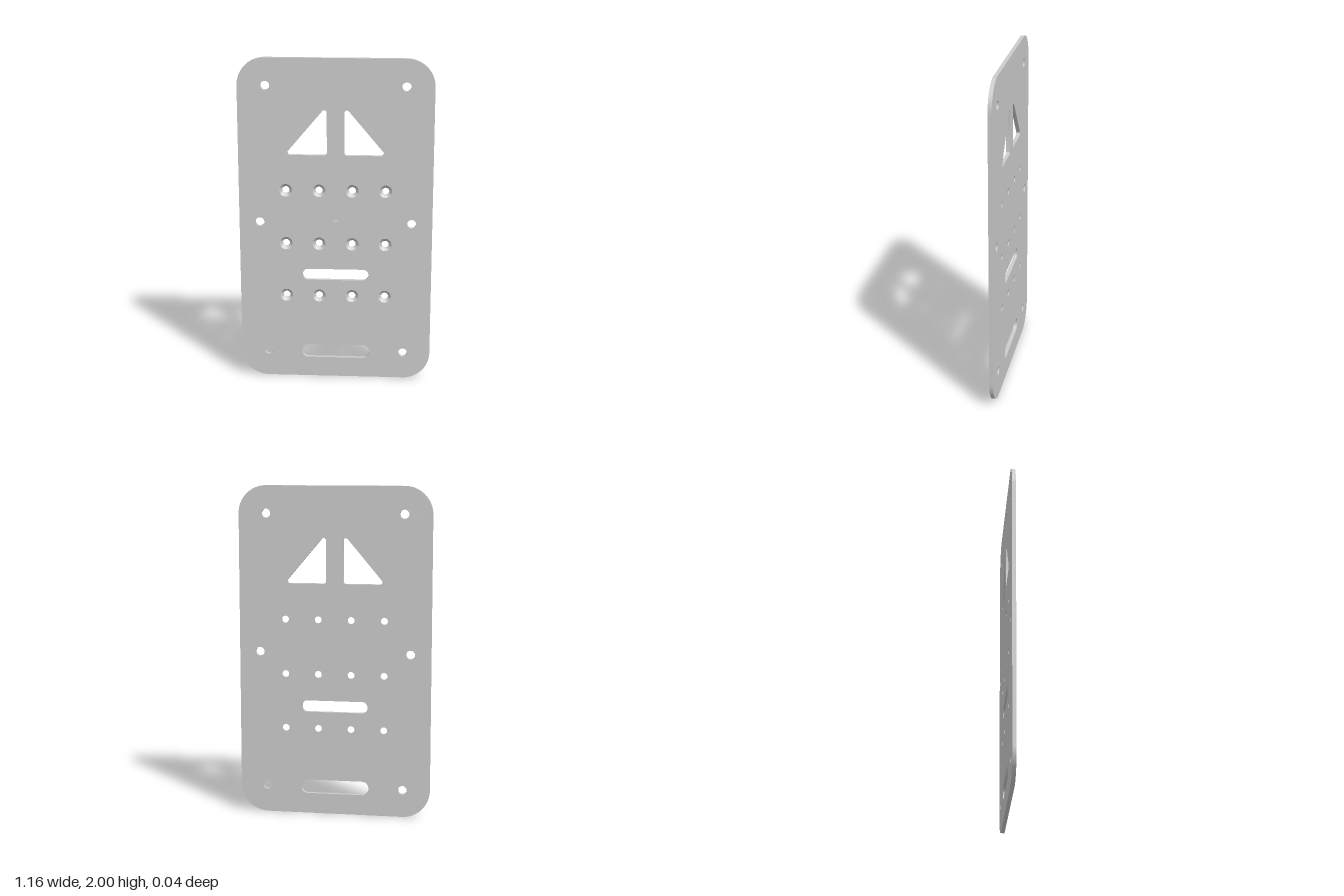
import * as THREE from 'three';
import { toCreasedNormals } from 'three/addons/utils/BufferGeometryUtils.js';

const BACK = -0.02, FRONT = 0.003, DEPTH = FRONT - BACK;
const SEGMENTS = 16;

// Traces a counter-clockwise polygon with every corner rounded to radius r
function roundedPolygon(path, points, r) {
  const pts = points.map(([x, y]) => new THREE.Vector2(x, y));
  const n = pts.length;
  pts.forEach((p, i) => {
    const into = p.clone().sub(pts[(i + n - 1) % n]).normalize();
    const out = pts[(i + 1) % n].clone().sub(p).normalize();
    const turn = Math.atan2(into.cross(out), into.dot(out));
    const t = r * Math.tan(turn / 2);
    const start = Math.atan2(into.y, into.x) - Math.PI / 2;
    path.absarc(p.x - into.x * t - into.y * r, p.y - into.y * t + into.x * r,
      r, start, start + turn, false);
  });
  path.closePath();
  return path;
}

const rect = (w, y0, y1) => [[-w, y0], [w, y0], [w, y1], [-w, y1]];

export function createModel() {
  const group = new THREE.Group();
  const material = new THREE.MeshStandardMaterial({ color: 0xcccccc });
  const add = (name, geometry, x = 0, y = 0, z = 0) => {
    const mesh = new THREE.Mesh(geometry, material);
    mesh.name = name;
    mesh.position.set(x, y, z);
    group.add(mesh);
  };

  // Plate outline
  const shape = roundedPolygon(new THREE.Shape(), rect(0.582, 0, 2), 0.167);
  const cutPolygon = (pts, r) => shape.holes.push(roundedPolygon(new THREE.Path(), pts, r));
  const cutCircle = (x, y, r) =>
    shape.holes.push(new THREE.Path().absarc(x, y, r, 0, Math.PI * 2, false));

  // Two long slots
  cutPolygon(rect(0.2, 0.635, 0.705), 0.032);
  cutPolygon(rect(0.208, 0.125, 0.21), 0.04);

  // Mirrored triangular windows
  cutPolygon([[0.052, 1.418], [0.304, 1.418], [0.052, 1.717]], 0.015);
  cutPolygon([[-0.052, 1.418], [-0.052, 1.717], [-0.304, 1.418]], 0.015);

  // Plain mounting holes along the edges
  for (const s of [-1, 1]) {
    cutCircle(s * 0.416, 1.835, 0.027);
    cutCircle(s * 0.416, 0.167, 0.027);
    cutCircle(s * 0.458, 1.0, 0.027);
  }

  // Countersunk screw holes: conical seat over a short straight bore
  const outer = 0.039, inner = 0.021, boreTop = BACK + 0.005;
  const profile = [[outer, FRONT], [inner, boreTop], [inner, BACK], [outer, BACK]]
    .map(([r, h]) => new THREE.Vector2(r, h));
  const seat = toCreasedNormals(
    new THREE.LatheGeometry(profile, SEGMENTS * 2).rotateX(Math.PI / 2), 0.5);
  for (const y of [1.2, 0.867, 0.533]) {
    for (const x of [-0.3, -0.1, 0.1, 0.3]) {
      cutCircle(x, y, outer);
      add('countersink', seat, x, y);
    }
  }

  // Plate body
  const plate = new THREE.ExtrudeGeometry(shape,
    { depth: DEPTH, bevelEnabled: false, curveSegments: SEGMENTS });
  add('plate', toCreasedNormals(plate, 0.5), 0, 0, BACK);

  // Small locating block at the centre of the front
  add('centreBlock', new THREE.BoxGeometry(0.032, 0.032, 0.02), 0, 1, 0.01);

  return group;
}
